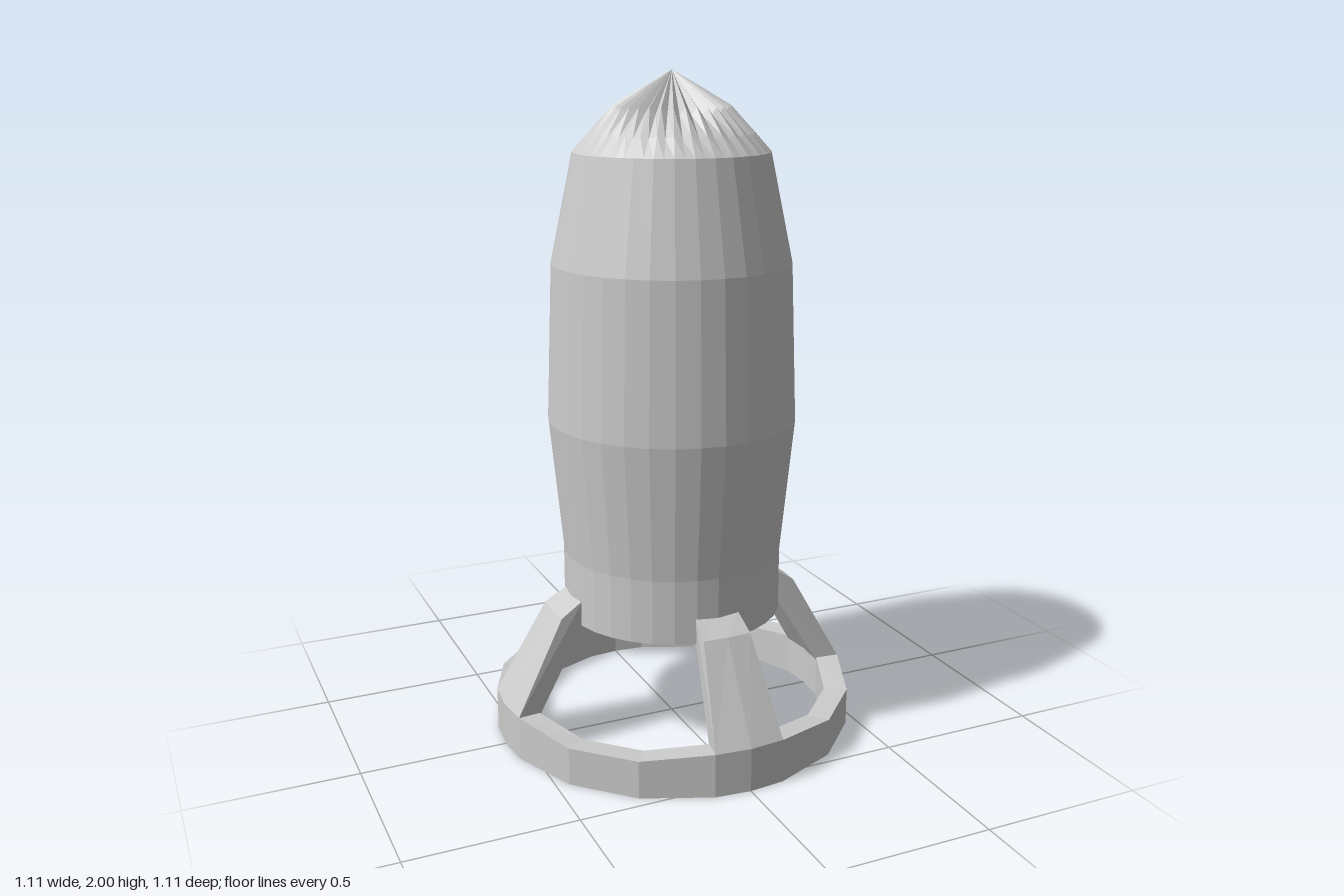
import * as THREE from 'three';

const material = new THREE.MeshStandardMaterial({ color: 0xcccccc, flatShading: true });

function addMesh(parent, name, geometry) {
  const mesh = new THREE.Mesh(geometry, material);
  mesh.name = name;
  parent.add(mesh);
  return mesh;
}

// Joins closed cross-sections into a solid; either wraps round or caps both ends.
function loft(sections, wrap) {
  const n = sections[0].length, count = sections.length;
  const index = [];
  const id = (s, i) => (s % count) * n + (i % n);
  for (let s = 0; s < (wrap ? count : count - 1); s++) {
    for (let i = 0; i < n; i++) {
      index.push(id(s, i), id(s + 1, i), id(s + 1, i + 1));
      index.push(id(s, i), id(s + 1, i + 1), id(s, i + 1));
    }
  }
  if (!wrap) {
    for (let i = 1; i < n - 1; i++) {
      index.push(id(0, 0), id(0, i), id(0, i + 1));
      index.push(id(count - 1, 0), id(count - 1, i + 1), id(count - 1, i));
    }
  }
  const indexed = new THREE.BufferGeometry();
  indexed.setAttribute('position', new THREE.Float32BufferAttribute(sections.flat(2), 3));
  indexed.setIndex(index);
  const geometry = indexed.toNonIndexed();
  geometry.computeVertexNormals();
  return geometry;
}

// Barrel-shaped hull with a closed bottom
function hullGeometry() {
  const profile = [[0, 0.375], [0.335, 0.375], [0.335, 0.57], [0.375, 0.98], [0.357, 1.45], [0.29, 1.77]];
  return new THREE.LatheGeometry(profile.map(([r, y]) => new THREE.Vector2(r, y)), 32);
}

// Nose cap with a shallow groove between each pair of ridges
function noseGeometry() {
  const profile = [[0.29, 1.77], [0.24, 1.826], [0.172, 1.9], [0.08, 1.955], [0, 2]];
  const depth = [0, 0.007, 0.02, 0.01, 0];
  const geometry = new THREE.LatheGeometry(profile.map(([r, y]) => new THREE.Vector2(r, y)), 64);
  const p = geometry.attributes.position;
  const shrink = Math.cos(Math.PI / 32);
  for (let k = 0; k < p.count; k++) {
    const column = Math.floor(k / profile.length);
    if (column % 2 === 0) continue;
    p.setXYZ(k, p.getX(k) * shrink, p.getY(k) - depth[k % profile.length], p.getZ(k) * shrink);
  }
  geometry.computeVertexNormals();
  return geometry;
}

// Base ring, slightly taller where the legs land
function ringGeometry() {
  const sections = [];
  for (let q = 0; q < 4; q++) {
    for (const [degrees, top] of [[-11.25, 0.133], [0, 0.133], [11.25, 0.133], [33.75, 0.115], [56.25, 0.115]]) {
      const a = THREE.MathUtils.degToRad(q * 90 + degrees);
      sections.push([[0.556, 0], [0.556, top], [0.485, top - 0.003], [0.485, 0]]
        .map(([r, y]) => [r * Math.sin(a), y, r * Math.cos(a)]));
    }
  }
  return loft(sections, true);
}

// Tapered leg: each row is depth at the sides, depth in the middle, height, half width
function legGeometry() {
  const rows = [
    [0.545, 0.556, 0.133, 0.108],
    [0.393, 0.397, 0.41, 0.075],
    [0.322, 0.322, 0.455, 0.068],
    [0.322, 0.325, 0.375, 0.066],
    [0.476, 0.485, 0.12, 0.095],
  ];
  const sections = [-1, 0, 1].map((side) =>
    rows.map(([edge, middle, y, w]) => [side * w, y, side ? edge : middle]));
  return loft(sections, false);
}

export function createModel() {
  const rocket = new THREE.Group();
  rocket.name = 'rocket';

  addMesh(rocket, 'hull', hullGeometry());
  addMesh(rocket, 'noseCap', noseGeometry());
  addMesh(rocket, 'baseRing', ringGeometry());

  const leg = legGeometry();
  ['frontLeg', 'leftLeg', 'backLeg', 'rightLeg'].forEach((name, i) => {
    addMesh(rocket, name, leg).rotation.y = i * Math.PI / 2;
  });
  return rocket;
}
